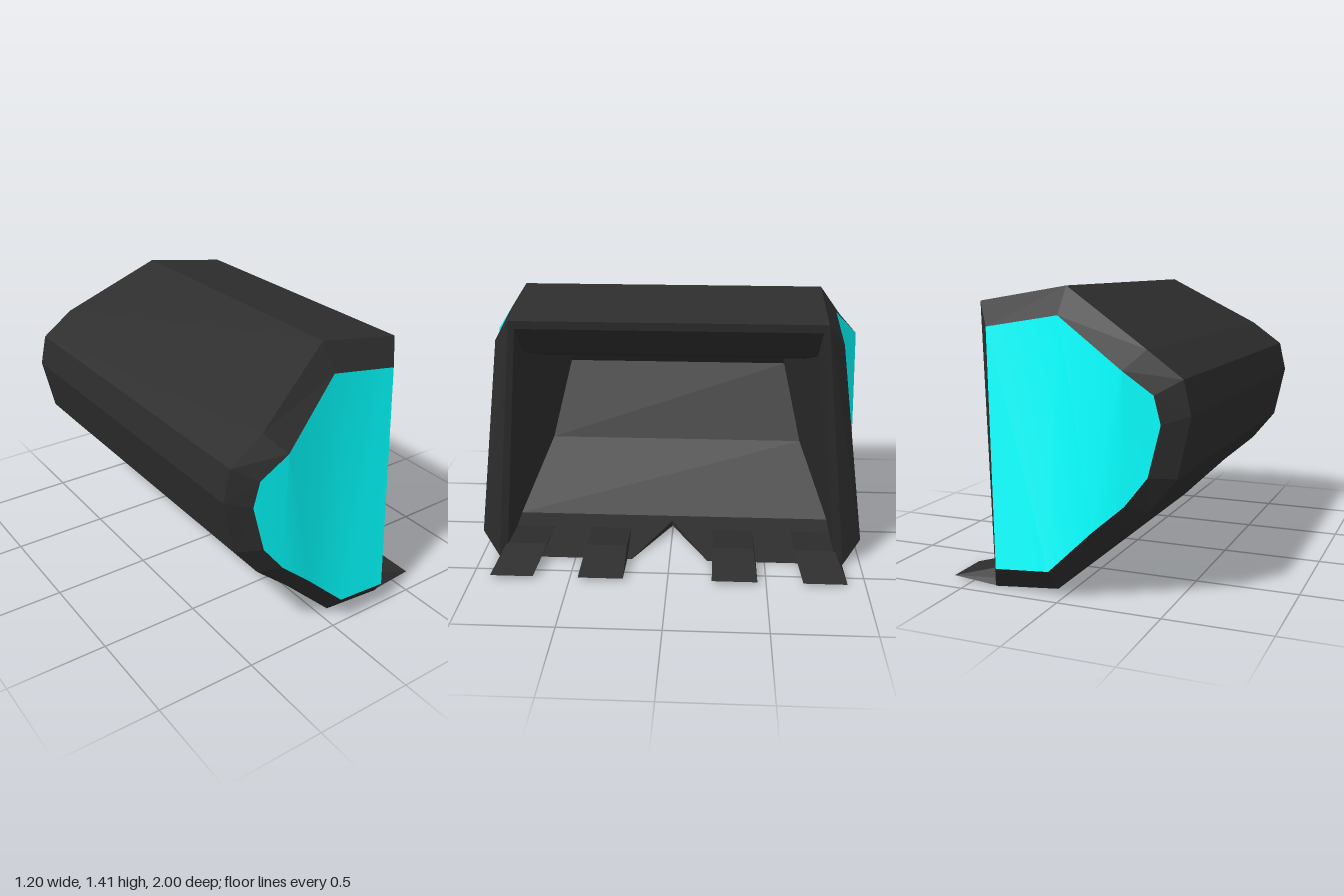
import * as THREE from 'three';
import { toCreasedNormals } from 'three/addons/utils/BufferGeometryUtils.js';

const dark = new THREE.MeshStandardMaterial({ color: 0x2d2d2d, flatShading: true, side: THREE.DoubleSide });
const cyan = new THREE.MeshStandardMaterial({ color: 0x00ffff, side: THREE.DoubleSide });

// Skin between successive rows of [x, y, z] points
function loft(name, rows, material, closed = false, caps = false) {
  const pos = [];
  const n = rows[0].length;
  for (let r = 0; r < rows.length - 1; r++) {
    for (let i = 0; i < (closed ? n : n - 1); i++) {
      const j = (i + 1) % n;
      const [a, b, c, d] = [rows[r][i], rows[r][j], rows[r + 1][j], rows[r + 1][i]];
      pos.push(...a, ...b, ...c, ...a, ...c, ...d);
    }
  }
  if (caps) {
    const last = rows[rows.length - 1];
    for (let i = 1; i < n - 1; i++) {
      pos.push(...rows[0][0], ...rows[0][i + 1], ...rows[0][i]);
      pos.push(...last[0], ...last[i], ...last[i + 1]);
    }
  }
  const g = new THREE.BufferGeometry();
  g.setAttribute('position', new THREE.Float32BufferAttribute(pos, 3));
  const mesh = new THREE.Mesh(toCreasedNormals(g, 0.5), material);
  mesh.name = name;
  return mesh;
}

const flip = (pts, s) => pts.map(([x, y, z]) => [x, y, z * s]);

// Outer shell section, from the bottom front lip round the back to the top front edge
const OUTER = [
  [0.365, 0, 0.91], [0.035, 0.03, 0.91], [-0.23, 0.285, 0.91], [-0.41, 0.44, 0.91], [-0.54, 0.6, 0.91],
  [-0.6, 0.875, 0.91], [-0.565, 1.03, 0.91], [-0.4, 1.15, 0.91], [0.055, 1.41, 0.745], [0.505, 1.335, 0.745],
];
// Raised side panel outline, matching the shell corner for corner
const PANEL = [
  [0.31, 0.12, 1], [0.04, 0.14, 1], [-0.18, 0.35, 1], [-0.325, 0.475, 0.99], [-0.43, 0.61, 0.98],
  [-0.485, 0.84, 0.97], [-0.455, 0.965, 0.975], [-0.32, 1.065, 0.995], [0.06, 1.28, 0.83], [0.43, 1.22, 0.83],
];
// Inner cavity section: flat floor, short back, low roof rising to the opening
const INNER = [
  [0.365, 0.01, 0.865], [0, 0.07, 0.86], [-0.34, 0.4, 0.72], [-0.54, 0.81, 0.63],
  [-0.43, 0.92, 0.6], [0.12, 1.05, 0.68], [0.33, 1.13, 0.72], [0.5, 1.295, 0.72],
];

// Bands running bottom to top across a closed outline
const bands = (pts) => {
  const half = pts.length / 2;
  return [pts.slice(0, half), pts.slice(half).reverse()];
};

export function createModel() {
  const model = new THREE.Group();
  model.name = 'bucket';

  // Outer shell and inner cavity, spanning the full width
  const back = OUTER.slice(1);
  model.add(loft('outerShell', [flip(back, -1), back], dark));
  const cavity = INNER.slice(1);
  model.add(loft('innerShell', [cavity, flip(cavity, -1)], dark));

  // Top edge of the opening
  const top = [OUTER[9], INNER[7]];
  model.add(loft('topEdge', [flip(top, -1), top], dark));

  // Cutting lip with a V notch in the middle
  const lip = [-0.91, -0.2, 0, 0.2, 0.91].map((z) => [
    [0, 0.07, z],
    z === 0 ? [0.04, 0.062, z] : [0.365, 0.002, z],
    z === 0 ? [0.04, 0.03, z] : [0.365, 0, z],
    [0.035, 0.03, z],
  ]);
  model.add(loft('cuttingLip', lip, dark, true, true));

  for (const s of [1, -1]) {
    const side = new THREE.Group();
    side.name = s > 0 ? 'leftSide' : 'rightSide';
    // Bevelled frame, coloured panel, inner wall and opening edge
    side.add(loft('sideFrame', [flip(OUTER, s), flip(PANEL, s)], dark, true));
    side.add(loft('sidePanel', bands(flip(PANEL, s)).reverse(), cyan));
    side.add(loft('innerWall', bands(flip(INNER, s)), dark));
    side.add(loft('openingEdge', [
      flip([OUTER[0], OUTER[9]], s), flip([INNER[0], INNER[7]], s),
    ], dark));

    // Two wedge teeth: top edge of each flank, then its tip and underside
    for (const [z0, z1, t0, t1] of [[0.225, 0.44, 0.225, 0.455], [0.65, 0.865, 0.685, 0.905]]) {
      const section = (z, t) => [[0.08, 0.045, z], [0.365, 0.08, z], [0.595, 0.02, t], [0.365, 0, t]];
      side.add(loft('tooth', [flip(section(z0, t0), s), flip(section(z1, t1), s)], dark, true, true));
    }
    model.add(side);
  }
  return model;
}
